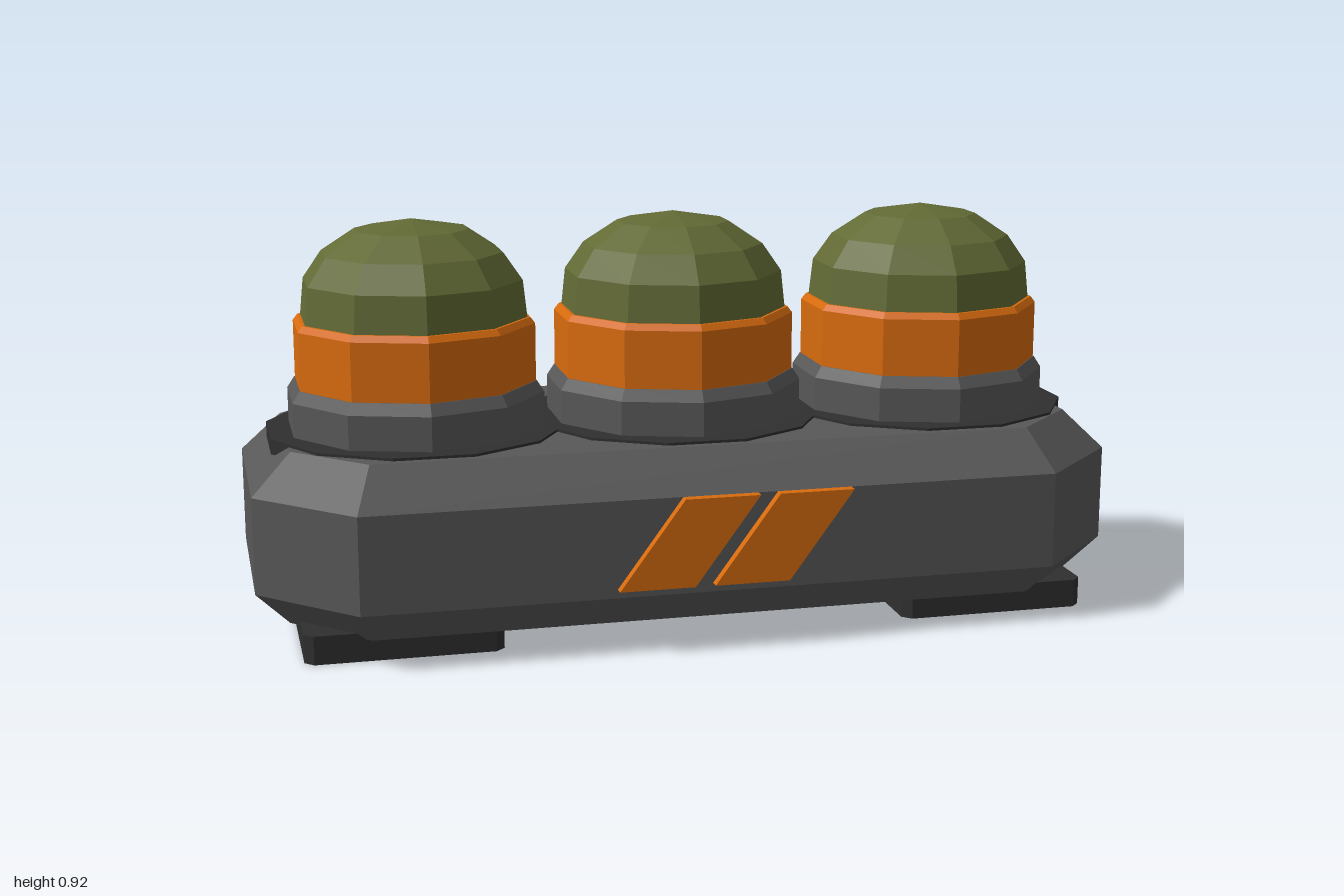
import * as THREE from 'three';

const CZ = 0.015; // shared z centre of body, feet and turrets

function material(name, color) {
  const m = new THREE.MeshStandardMaterial({ color, flatShading: true });
  m.name = name;
  return m;
}

// Rectangle with cut corners, counter-clockwise from above
function cutRect(hx, hz, cx, cz, y) {
  return [
    [-hx + cx, hz], [hx - cx, hz], [hx, hz - cz], [hx, -hz + cz],
    [hx - cx, -hz], [-hx + cx, -hz], [-hx, -hz + cz], [-hx, hz - cz],
  ].map(([x, z]) => new THREE.Vector3(x, y, z));
}

// Skin stacked rings from bottom to top, with flat caps
function loft(rings) {
  const n = rings[0].length;
  const pts = [];
  for (let r = 0; r < rings.length - 1; r++) {
    const a = rings[r], b = rings[r + 1];
    for (let i = 0; i < n; i++) {
      const j = (i + 1) % n;
      pts.push(a[i], a[j], b[j], a[i], b[j], b[i]);
    }
  }
  const bottom = rings[0], top = rings[rings.length - 1];
  for (let i = 1; i < n - 1; i++) {
    pts.push(top[0], top[i], top[i + 1], bottom[0], bottom[i + 1], bottom[i]);
  }
  const g = new THREE.BufferGeometry().setFromPoints(pts);
  g.computeVertexNormals();
  return g;
}

// Ten-sided turned part from [radius, height] pairs
function turned(profile) {
  const g = new THREE.LatheGeometry(profile.map(([r, y]) => new THREE.Vector2(r, y)), 10);
  const flat = g.toNonIndexed();
  flat.computeVertexNormals();
  return flat;
}

export function createModel() {
  const model = new THREE.Group();
  model.name = 'tripleDomeUnit';
  const grey = material('bodyGrey', 0x585858);
  const dark = material('darkGrey', 0x2f2f2f);
  const orange = material('orange', 0xd76b0e);
  const olive = material('olive', 0x626a35);

  const add = (parent, name, geometry, mat, x = 0, y = 0, z = 0) => {
    const mesh = new THREE.Mesh(geometry, mat);
    mesh.name = name;
    mesh.position.set(x, y, z);
    parent.add(mesh);
    return mesh;
  };

  // Bevelled eight-sided body
  const bodyRing = (inset, y) => {
    const k = inset * Math.tan(Math.PI / 8);
    return cutRect(1 - inset, 0.445 - inset, 0.21 - inset + k, 0.21 - inset + k, y);
  };
  add(model, 'body', loft([
    bodyRing(0.075, 0.05), bodyRing(0, 0.13), bodyRing(0, 0.35), bodyRing(0.09, 0.44),
  ]), grey, 0, 0, CZ);

  // Feet
  for (const side of [-1, 1]) {
    add(model, side > 0 ? 'leftFoot' : 'rightFoot', loft([
      cutRect(0.22, 0.358, 0.02, 0.02, 0), cutRect(0.22, 0.358, 0.02, 0.02, 0.065),
    ]), dark, side * 0.685, 0, CZ);
  }

  // Three domed turrets
  const plateGeo = new THREE.CylinderGeometry(0.349, 0.349, 0.035, 12, 1, false, Math.PI / 12);
  const baseGeo = turned([[0, 0.43], [0.3, 0.43], [0.3, 0.524], [0.283, 0.55], [0, 0.55]]);
  const collarGeo = turned([[0, 0.55], [0.281, 0.55], [0.281, 0.683], [0.27, 0.697], [0, 0.697]]);
  const domeGeo = turned([
    [0.264, 0.69], [0.254, 0.782], [0.21, 0.845], [0.131, 0.897], [0, 0.92],
  ]);
  ['rightTurret', 'middleTurret', 'leftTurret'].forEach((name, i) => {
    const turret = new THREE.Group();
    turret.name = name;
    turret.position.set((i - 1) * 0.61, 0, CZ);
    add(turret, 'mountingPlate', plateGeo, dark, 0, 0.4285, 0);
    add(turret, 'turretBase', baseGeo, grey);
    add(turret, 'collar', collarGeo, orange);
    add(turret, 'dome', domeGeo, olive);
    model.add(turret);
  });

  // Slanted stripes on the front
  [-0.23, -0.015].forEach((x, i) => {
    const s = new THREE.Shape([[0, 0.15], [0.17, 0.15], [0.317, 0.35], [0.147, 0.35]]
      .map(([px, py]) => new THREE.Vector2(px, py)));
    const g = new THREE.ExtrudeGeometry(s, { depth: 0.028, bevelEnabled: false });
    add(model, 'frontStripe' + (i + 1), g, orange, x, 0, 0.455);
  });

  // Raised panel on the back
  const panel = loft([
    cutRect(0.22, 0.078, 0.004, 0.004, 0),
    cutRect(0.22, 0.078, 0.004, 0.004, 0.035),
    cutRect(0.208, 0.072, 0.004, 0.004, 0.06),
  ]).rotateX(-Math.PI / 2);
  add(model, 'backPanel', panel, orange, 0.01, 0.238, -0.425);

  return model;
}
